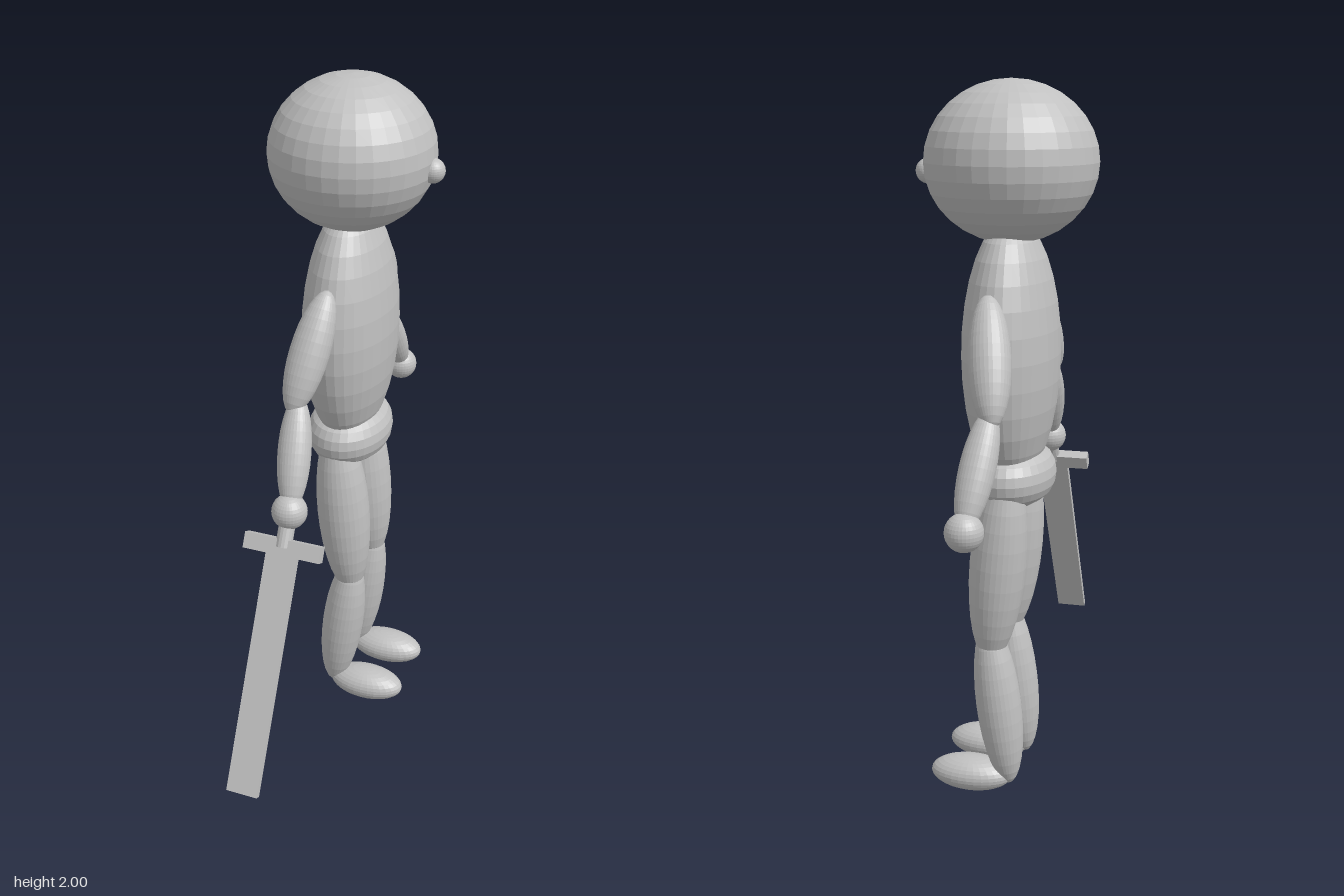
import * as THREE from 'three';

const MID = -0.165; // z of the body's own plane of symmetry
const AX = -0.015;  // x of the body's axis

export function createModel() {
  const model = new THREE.Group();
  model.name = 'swordFigure';
  const grey = new THREE.MeshStandardMaterial({ color: 0xc0c0c0 });
  grey.name = 'plain grey';
  grey.flatShading = true;

  const add = (name, geometry, position, parent = model) => {
    const mesh = new THREE.Mesh(geometry, grey);
    mesh.name = name;
    mesh.position.set(...position);
    parent.add(mesh);
    return mesh;
  };
  const ellipsoid = (name, position, rx, ry, rz) =>
    add(name, new THREE.SphereGeometry(1, 32, 16).scale(rx, ry, rz), position);

  // Ellipsoid whose long axis runs between two points
  const limb = (name, from, to, rx, rz = rx) => {
    const a = new THREE.Vector3(...from), b = new THREE.Vector3(...to);
    const axis = a.clone().sub(b);
    const mesh = ellipsoid(name, a.add(b).multiplyScalar(0.5).toArray(), rx, axis.length() / 2, rz);
    mesh.quaternion.setFromUnitVectors(new THREE.Vector3(0, 1, 0), axis.normalize());
  };

  // Head, nose and trunk
  ellipsoid('head', [AX, 1.787, MID], 0.233, 0.213, 0.233);
  ellipsoid('nose', [0.214, 1.76, MID], 0.034, 0.034, 0.034);
  ellipsoid('torso', [AX, 1.275, MID], 0.13, 0.37, 0.212);
  add('hipRing', new THREE.TorusGeometry(0.097, 0.07, 16, 32)
    .rotateX(Math.PI / 2).scale(0.73, 1, 1), [AX, 0.938, MID]);
  ellipsoid('pelvis', [AX, 0.93, MID], 0.11, 0.09, 0.155);

  // Arms and legs, mirrored about the body's middle
  for (const [side, s] of [['right', 1], ['left', -1]]) {
    const at = (x, y, dz) => [x, y, MID + s * dz];
    limb(side + 'UpperArm', at(-0.005, 1.465, 0.21), at(-0.055, 1.155, 0.365), 0.056, 0.052);
    limb(side + 'Forearm', at(-0.045, 1.2, 0.332), at(-0.013, 0.92, 0.482), 0.047, 0.044);
    ellipsoid(side + 'Hand', at(AX, 0.92, 0.482), 0.05, 0.05, 0.05);
    limb(side + 'Thigh', at(-0.025, 0.99, 0.1), at(0.025, 0.41, 0.1), 0.079);
    limb(side + 'Shin', at(0.03, 0.525, 0.1), at(-0.03, 0.035, 0.1), 0.064);
    ellipsoid(side + 'Foot', at(0.082, 0.055, 0.1), 0.119, 0.05, 0.064);
  }

  // Sword, built pointing down from the hand and then swung outward
  const sword = new THREE.Group();
  sword.name = 'sword';
  sword.position.set(AX, 0.92, 0.317);
  sword.rotation.x = -Math.atan2(0.464, 0.886);
  model.add(sword);
  add('grip', new THREE.CylinderGeometry(0.023, 0.023, 0.1, 16), [0, -0.05, 0], sword);
  add('guard', new THREE.BoxGeometry(0.225, 0.045, 0.032), [0, -0.1, 0], sword);
  add('blade', new THREE.BoxGeometry(0.092, 0.68, 0.018), [0, -0.457, 0], sword);

  return model;
}
